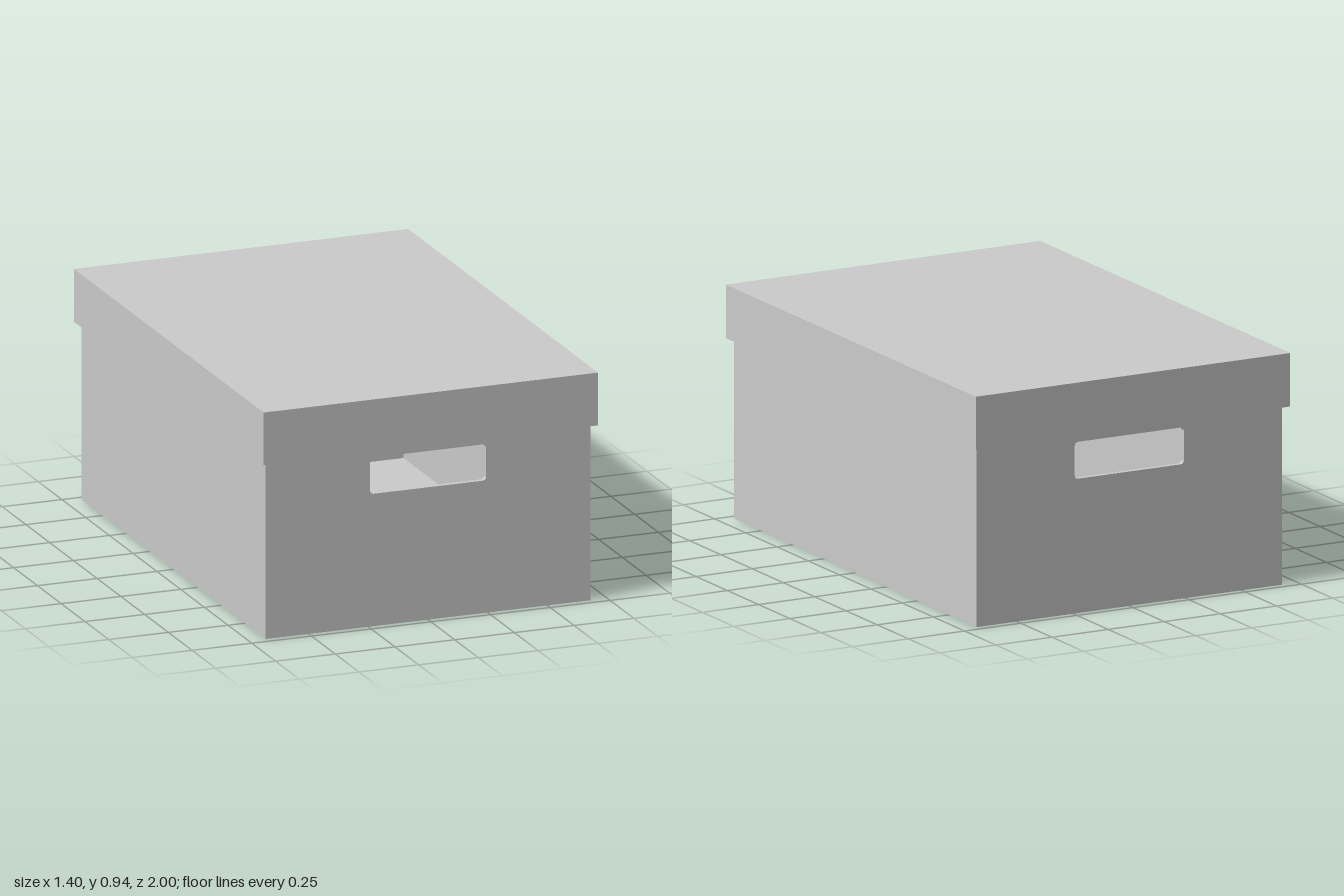
import * as THREE from 'three';

const material = new THREE.MeshStandardMaterial({ color: 0xcccccc });

function panel(parent, name, w, h, d, x, y, z) {
  const mesh = new THREE.Mesh(new THREE.BoxGeometry(w, h, d), material);
  mesh.name = name;
  mesh.position.set(x, y, z);
  parent.add(mesh);
}

// Rounded rectangular outline of a hand hole
function handHole(x, y0, y1, r) {
  const hole = new THREE.Path();
  hole.absarc(x - r, y1 - r, r, 0, Math.PI / 2);
  hole.absarc(-x + r, y1 - r, r, Math.PI / 2, Math.PI);
  hole.absarc(-x + r, y0 + r, r, Math.PI, Math.PI * 1.5);
  hole.absarc(x - r, y0 + r, r, Math.PI * 1.5, Math.PI * 2);
  hole.closePath();
  return hole;
}

export function createModel() {
  const model = new THREE.Group();
  model.name = 'storageBox';

  // Open box: floor, two plain sides, two ends with hand holes
  const X = 0.68, Z = 0.97, H = 0.915, T = 0.02;
  const box = new THREE.Group();
  box.name = 'box';
  model.add(box);
  panel(box, 'floor', 2 * (X - T), T, 2 * (Z - T), 0, T / 2, 0);

  const outline = new THREE.Shape([
    new THREE.Vector2(-X, 0), new THREE.Vector2(X, 0),
    new THREE.Vector2(X, H), new THREE.Vector2(-X, H),
  ]);
  outline.holes.push(handHole(0.243, 0.54, 0.688, 0.015));
  const endGeometry = new THREE.ExtrudeGeometry(outline, { depth: T, bevelEnabled: false, curveSegments: 6 });

  for (const s of [1, -1]) {
    panel(box, s > 0 ? 'leftSide' : 'rightSide', T, H, 2 * (Z - T), s * (X - T / 2), H / 2, 0);
    const end = new THREE.Mesh(endGeometry, material);
    end.name = s > 0 ? 'frontEnd' : 'backEnd';
    end.position.z = s > 0 ? Z - T : -Z;
    box.add(end);
  }

  // Lid: top sheet with a skirt hanging over the box rim
  const LX = 0.7, LZ = 1, y0 = 0.72, y1 = 0.935, LT = 0.018;
  const lid = new THREE.Group();
  lid.name = 'lid';
  model.add(lid);
  panel(lid, 'lidTop', 2 * LX, LT, 2 * LZ, 0, y1 - LT / 2, 0);
  const skirt = y1 - LT - y0, mid = y0 + skirt / 2;
  for (const s of [1, -1]) {
    panel(lid, s > 0 ? 'lidLeftSkirt' : 'lidRightSkirt', LT, skirt, 2 * (LZ - LT), s * (LX - LT / 2), mid, 0);
    panel(lid, s > 0 ? 'lidFrontSkirt' : 'lidBackSkirt', 2 * LX, skirt, LT, 0, mid, s * (LZ - LT / 2));
  }

  return model;
}
